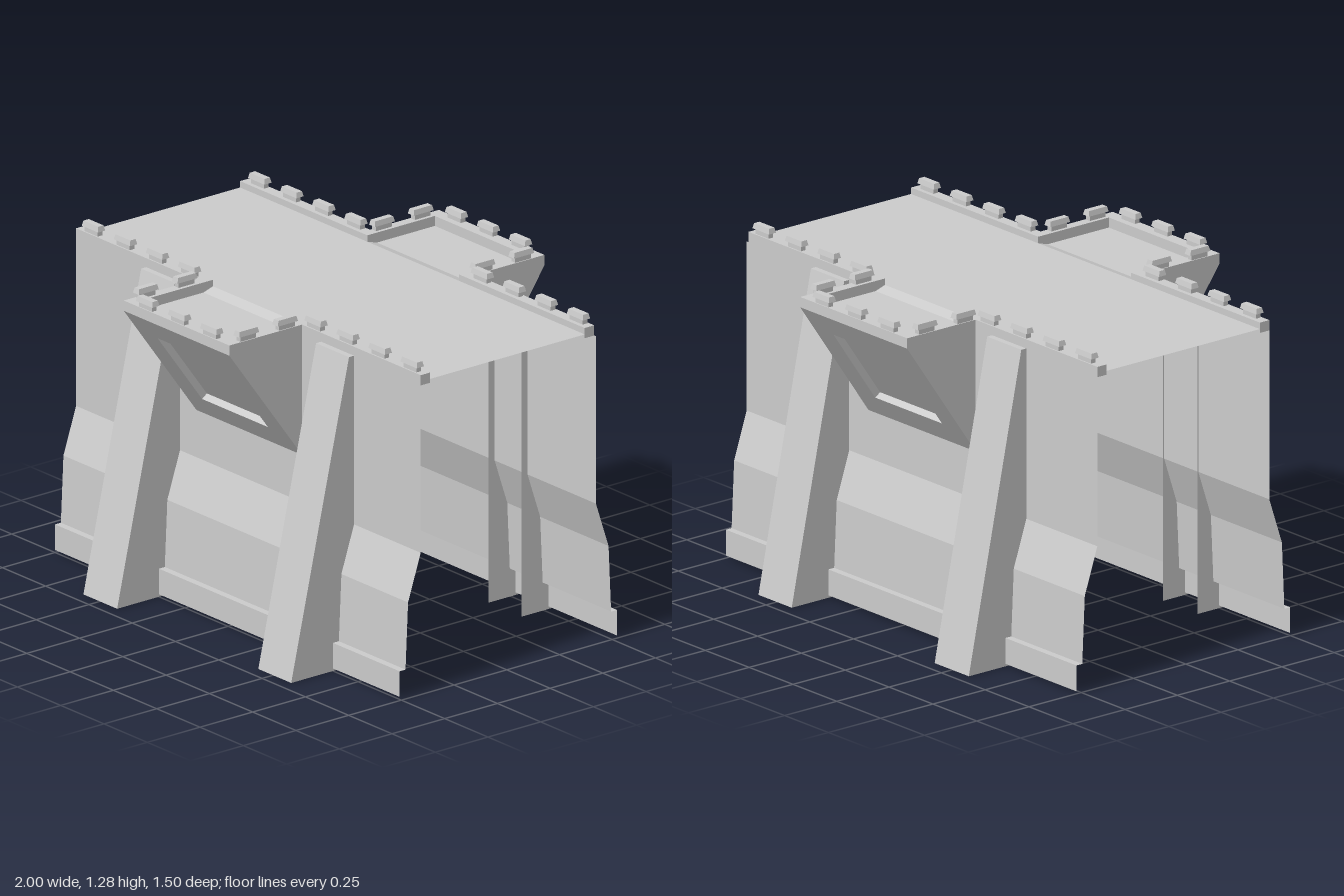
import * as THREE from 'three';

const X0 = -1, X1 = 0.99;              // wall ends
const TOP = 1.245, LIP = 1.205;        // parapet top, underside
const material = new THREE.MeshStandardMaterial({ color: 0xcccccc, flatShading: true, side: THREE.DoubleSide });

function add(group, name, geometry) {
  const mesh = new THREE.Mesh(geometry, material);
  mesh.name = name;
  group.add(mesh);
  return mesh;
}

// Geometry from polygons (3 or 4 corners each); flip reverses the winding
function sheet(polygons, flip) {
  const pos = [];
  for (const p of polygons) {
    const c = flip ? [...p].reverse() : p;
    for (let i = 1; i < c.length - 1; i++) pos.push(...c[0], ...c[i], ...c[i + 1]);
  }
  const g = new THREE.BufferGeometry();
  g.setAttribute('position', new THREE.Float32BufferAttribute(pos, 3));
  g.computeVertexNormals();
  return g;
}

// Sweeps a [z, y] profile (listed bottom to top) along x
function sweep(profile, x0, x1) {
  const polys = [];
  for (let i = 0; i < profile.length - 1; i++) {
    const [za, ya] = profile[i], [zb, yb] = profile[i + 1];
    polys.push([[x0, ya, za], [x1, ya, za], [x1, yb, zb], [x0, yb, zb]]);
  }
  return polys;
}

// Small block with a wider, chamfered cap
function merlon(group, x, z, alongZ) {
  const m = new THREE.Group();
  m.name = 'merlon';
  add(m, 'merlonBody', new THREE.BoxGeometry(0.075, 0.022, 0.022)).position.y = 0.011;
  const cap = new THREE.BoxGeometry(0.095, 0.02, 0.034);
  const p = cap.attributes.position;
  for (let i = 0; i < p.count; i++) {
    if (p.getY(i) > 0) p.setXYZ(i, p.getX(i) * 0.9, p.getY(i), p.getZ(i) * 0.75);
  }
  cap.computeVertexNormals();
  add(m, 'merlonCap', cap).position.y = 0.03;
  m.position.set(x, TOP, z);
  if (alongZ) m.rotation.y = Math.PI / 2;
  group.add(m);
}

// One face of the wall: s = 1 front, -1 back; w = wall distance, b = bay distance
function wallSide(name, s, w, b) {
  const g = new THREE.Group();
  g.name = name;
  const flip = s < 0;
  const xEnd = flip ? 1 : X1;

  // Wall skin with a sloped foot and a plinth
  const profile = [[w + 0.1, 0.01], [w + 0.1, 0.11], [w + 0.072, 0.11], [w + 0.06, 0.37], [w, 0.55], [w, LIP]];
  add(g, 'wall', sheet(sweep(profile.map(([z, y]) => [z * s, y]), X0, xEnd), flip));

  // Tapering buttresses, open at the back and bottom
  for (const [x0, x1] of [[-0.595, -0.4], [0.415, 0.605]]) {
    const front = sweep([[0.698 * s, 0], [(w + 0.024) * s, 1.21], [0.395 * s, 1.21]], x0, x1);
    const cheek = (x) => [[x, 0, 0.395 * s], [x, 0, 0.698 * s], [x, 1.21, (w + 0.024) * s], [x, 1.21, 0.395 * s]];
    add(g, 'buttress', sheet([...front, cheek(x0), cheek(x1).reverse()], flip));
  }

  // Overhanging bay: sloped face with a recessed panel, and triangular cheeks
  const low = 0.735, hx = 0.305;
  const k = (b - w) / (LIP - low), len = Math.hypot(1, k);
  const at = (x, y, d = 0) => [x, y + (d * k) / len, s * (b - (LIP - y) * k - d / len)];
  const ring = (x, y0, y1, d) => [at(-x, y0, d), at(x, y0, d), at(x, y1, d), at(-x, y1, d)];
  const outer = ring(hx, low, LIP, 0);
  const rim = ring(0.19, 0.827, 1.115, 0);
  const panel = ring(0.19, 0.827, 1.115, 0.028);
  const faces = [panel];
  for (let i = 0; i < 4; i++) {
    const j = (i + 1) % 4;
    faces.push([outer[i], outer[j], rim[j], rim[i]], [rim[i], rim[j], panel[j], panel[i]]);
  }
  for (const x of [-hx, hx]) {
    const tri = [[x, LIP, w * s], [x, low, w * s], [x, LIP, b * s]];
    faces.push(x < 0 ? tri : tri.reverse());
  }
  add(g, 'bay', sheet(faces, flip));

  // Bay floor, with the step down from the main deck
  add(g, 'bayFloor', sheet(sweep([[b * s, LIP + 0.001], [w * s, LIP + 0.001], [(w - 0.045) * s, 1.22]], -0.28, 0.28), flip));

  // Parapet running along the wall and around the bay
  const inW = w - 0.045, inB = b - 0.052;
  const outline = [
    [X0, w], [-hx, w], [-hx, b], [hx, b], [hx, w], [X1, w],
    [X1, inW], [0.265, inW], [0.265, inB], [-0.265, inB], [-0.265, inW], [X0, inW],
  ].map(([x, z]) => new THREE.Vector2(x, z * s));
  const parapet = new THREE.ExtrudeGeometry(new THREE.Shape(outline), { depth: TOP - LIP, bevelEnabled: false });
  parapet.rotateX(Math.PI / 2).translate(0, TOP, 0);
  add(g, 'parapet', parapet);

  // Merlons on the wall, the bay front and the bay sides
  for (const x of [0.365, 0.55, 0.735, 0.92]) {
    merlon(g, x, (w - 0.017) * s);
    merlon(g, -x, (w - 0.017) * s);
  }
  for (const x of [-0.185, 0, 0.185]) merlon(g, x, (b - 0.015) * s);
  for (const x of [-0.29, 0.29]) {
    for (const z of [0.468, 0.652]) merlon(g, x, z * s, true);
  }
  return g;
}

export function createModel() {
  const model = new THREE.Group();
  model.name = 'castleWall';
  model.add(wallSide('frontSide', 1, 0.4, 0.745), wallSide('backSide', -1, 0.423, 0.75));

  // Walkway between the two parapets
  add(model, 'deck', sheet(sweep([[0.355, 1.22], [-0.378, 1.22]], X0, X1)));
  return model;
}
